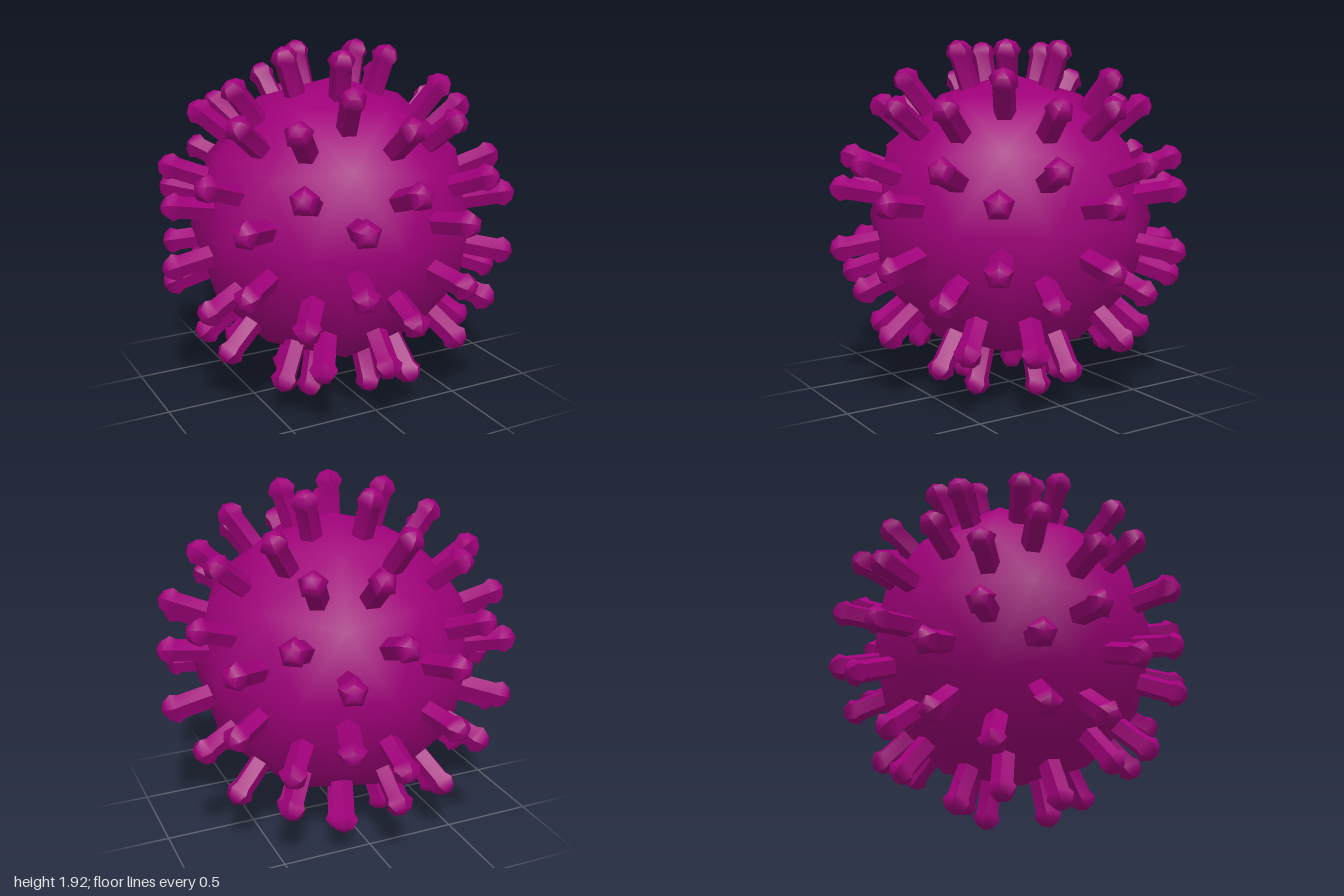
import * as THREE from 'three';
import { toCreasedNormals } from 'three/addons/utils/BufferGeometryUtils.js';

const CENTRE_Y = 0.97;
const BODY_RADIUS = 0.786;

export function createModel() {
  const model = new THREE.Group();
  model.name = 'virus';
  const magenta = new THREE.MeshStandardMaterial({ color: 0xa0007a });
  magenta.name = 'magenta';

  // Body: 80-sided icosphere, turned so that one five-fold corner points up
  const bodyGeometry = new THREE.IcosahedronGeometry(BODY_RADIUS, 1);
  bodyGeometry.rotateZ(-Math.atan(2 / (1 + Math.sqrt(5))));
  const body = new THREE.Mesh(bodyGeometry, magenta);
  body.name = 'body';
  body.position.y = CENTRE_Y;
  model.add(body);

  // Spike: five-sided stem with a flared, bevelled head, measured from the body centre
  const profile = [[0.061, 0.68], [0.061, 0.91], [0.078, 0.945], [0.05, 0.988], [0, 1.009]]
    .map(([r, h]) => new THREE.Vector2(r, h));
  const spikeGeometry = toCreasedNormals(new THREE.LatheGeometry(profile, 5), 1.0);

  const spikes = new THREE.Group();
  spikes.name = 'spikes';
  spikes.position.y = CENTRE_Y;
  model.add(spikes);

  // One spike at the middle of every body face, one corner of its head turned upward
  const up = new THREE.Vector3(0, 1, 0);
  const corners = bodyGeometry.attributes.position;
  const corner = new THREE.Vector3();
  for (let i = 0; i < corners.count; i += 3) {
    const out = new THREE.Vector3();
    for (let j = 0; j < 3; j++) out.add(corner.fromBufferAttribute(corners, i + j));
    out.normalize();
    const side = new THREE.Vector3().crossVectors(out, up).normalize();
    const top = new THREE.Vector3().crossVectors(side, out);
    const spike = new THREE.Mesh(spikeGeometry, magenta);
    spike.name = 'spike';
    spike.quaternion.setFromRotationMatrix(new THREE.Matrix4().makeBasis(side, out, top));
    spikes.add(spike);
  }
  return model;
}
